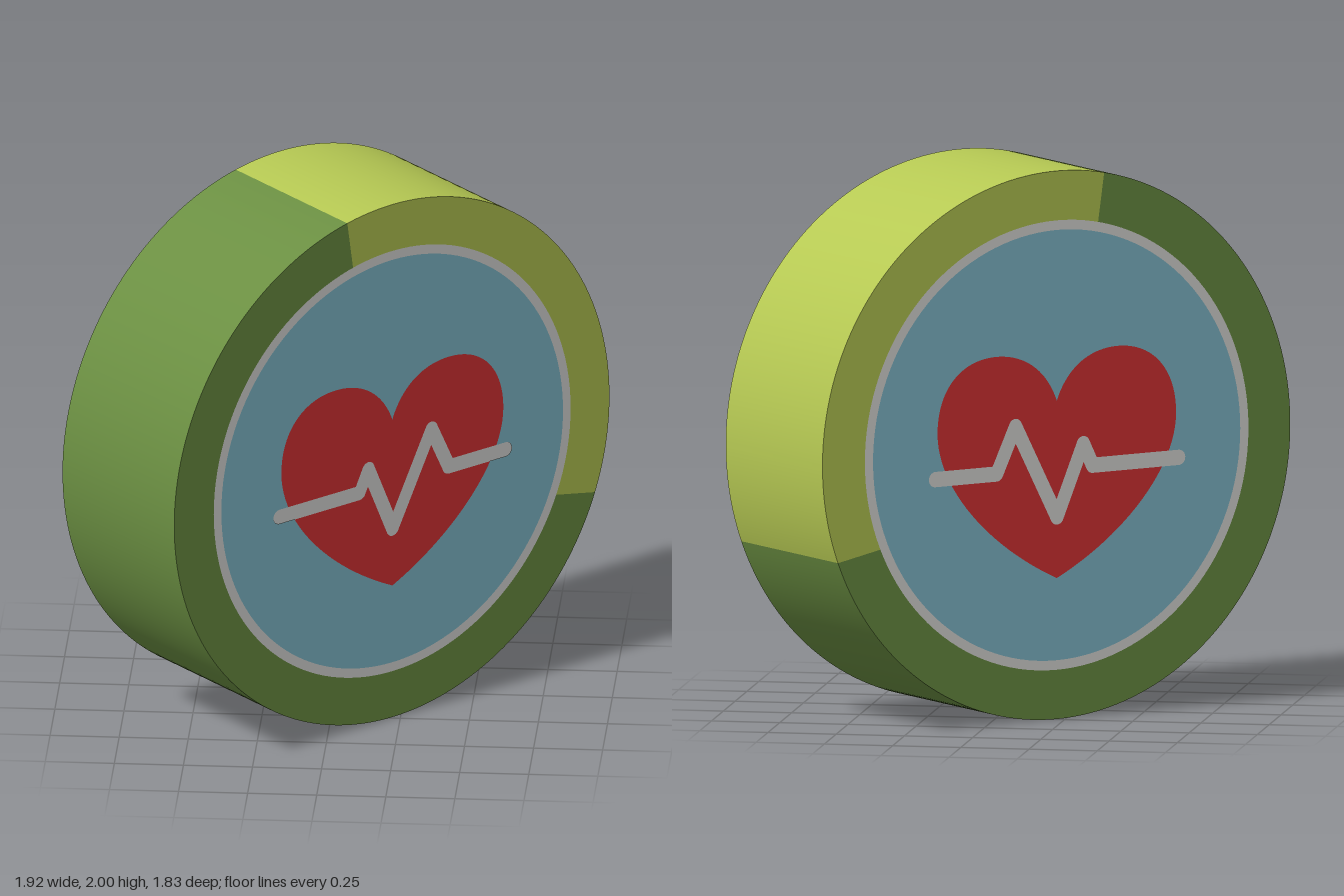
import * as THREE from 'three';
import { toCreasedNormals } from 'three/addons/utils/BufferGeometryUtils.js';

const HALF = 0.326;                       // half the thickness of the disc
const rad = THREE.MathUtils.degToRad;

const mat = (name, color) => {
  const m = new THREE.MeshStandardMaterial({ color });
  m.name = name;
  return m;
};

function add(group, name, geometry, material, z = 0) {
  const mesh = new THREE.Mesh(geometry, material);
  mesh.name = name;
  mesh.position.z = z;
  group.add(mesh);
  return mesh;
}

// Thick ring segment; the cut ends lean slightly away from the radius
function rimSegment(outer0, outer1, inner0, inner1) {
  const shape = new THREE.Shape();
  shape.absarc(0, 0, 1, rad(outer0), rad(outer1), false);
  shape.absarc(0, 0, 0.815, rad(inner1), rad(inner0), true);
  shape.closePath();
  const g = new THREE.ExtrudeGeometry(shape, { depth: 2 * HALF, bevelEnabled: false, curveSegments: 72 });
  g.translate(0, 0, -HALF);
  return toCreasedNormals(g, rad(30));
}

function heartShape() {
  const s = new THREE.Shape();
  s.moveTo(0, -0.485);
  s.bezierCurveTo(0.29, -0.35, 0.51, -0.12, 0.51, 0.08);
  s.bezierCurveTo(0.51, 0.24, 0.41, 0.342, 0.26, 0.342);
  s.bezierCurveTo(0.13, 0.342, 0.04, 0.27, 0, 0.162);
  s.bezierCurveTo(-0.04, 0.27, -0.13, 0.342, -0.26, 0.342);
  s.bezierCurveTo(-0.41, 0.342, -0.51, 0.24, -0.51, 0.08);
  s.bezierCurveTo(-0.51, -0.12, -0.29, -0.35, 0, -0.485);
  return s;
}

// Flat round-ended stroke between two points
function strokeShape([x0, y0], [x1, y1], r) {
  const a = Math.atan2(y1 - y0, x1 - x0);
  const s = new THREE.Shape();
  s.absarc(x1, y1, r, a - Math.PI / 2, a + Math.PI / 2, false);
  s.absarc(x0, y0, r, a + Math.PI / 2, a + Math.PI * 1.5, false);
  s.closePath();
  return s;
}

const PULSE = [[-0.52, -0.085], [-0.152, -0.085], [-0.112, -0.003], [0, -0.262],
  [0.178, 0.082], [0.258, -0.085], [0.52, -0.085]];

// Decorated face; flip = -1 mirrors the pulse line for the back
function emblem(name, flip, m) {
  const g = new THREE.Group();
  g.name = name;
  add(g, 'bluePanel', new THREE.CircleGeometry(0.79, 128), m.blue, HALF + 0.001);
  add(g, 'panelBorder', new THREE.RingGeometry(0.785, 0.82, 128), m.white, HALF + 0.002);
  add(g, 'heart', new THREE.ShapeGeometry(heartShape(), 24), m.red, HALF + 0.003);
  const pts = PULSE.map(([x, y]) => [x * flip, y]);
  const strokes = pts.slice(1).map((p, i) => strokeShape(pts[i], p, 0.028));
  add(g, 'pulseLine', new THREE.ShapeGeometry(strokes, 10), m.white, HALF + 0.005);
  if (flip < 0) g.rotation.y = Math.PI;
  return g;
}

export function createModel() {
  const m = {
    green: mat('leaf green', 0x6b8f42),
    lime: mat('lime green', 0xb6c953),
    blue: mat('soft blue', 0x82bdce),
    white: mat('off white', 0xdcdcd9),
    red: mat('heart red', 0xda3234),
  };

  const disc = new THREE.Group();
  disc.name = 'disc';
  add(disc, 'limeRim', rimSegment(-21, 101.8, -23.3, 102.6), m.lime);
  add(disc, 'greenRim', rimSegment(101.8, 339, 102.6, 336.7), m.green);
  disc.add(emblem('frontEmblem', 1, m), emblem('backEmblem', -1, m));

  // Standing on its edge, turned toward its left
  disc.position.y = 1;
  disc.rotation.y = rad(42.2);

  const model = new THREE.Group();
  model.name = 'heartMonitorDisc';
  model.add(disc);
  return model;
}
